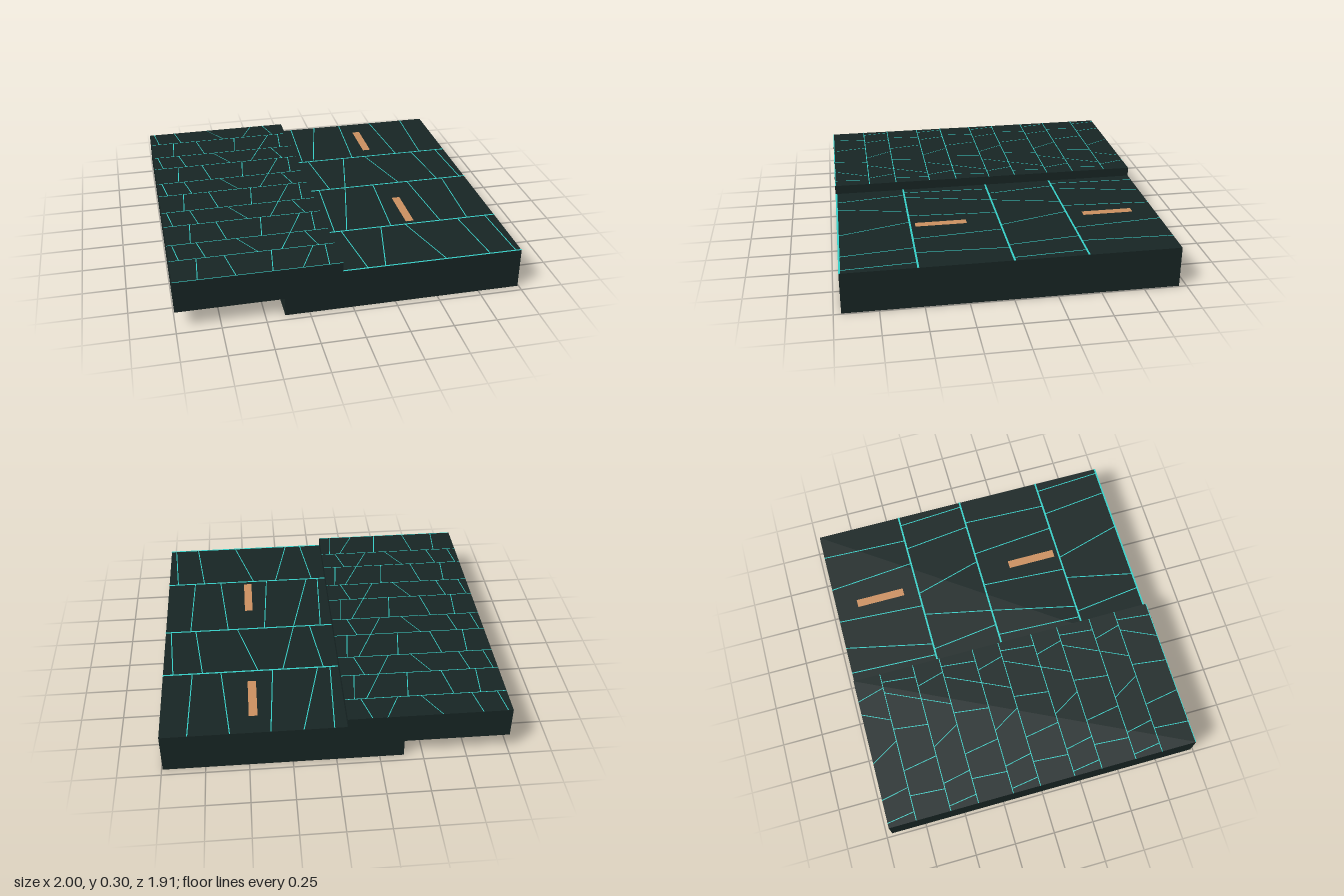
import * as THREE from 'three';

const slabMat = new THREE.MeshStandardMaterial({ color: 0x172524 });
const underMat = new THREE.MeshStandardMaterial({ color: 0x141a2e });
const seamMat = new THREE.MeshStandardMaterial({ color: 0x35d0c8 });
const markMat = new THREE.MeshStandardMaterial({ color: 0xcc9060 });

const Z = 0.957;          // half length of the street piece
const LIFT = 0.0015;      // inlays sit just above the slabs

export function createModel() {
  const model = new THREE.Group();

  // Box given by its limits
  function slab(name, x0, x1, y0, y1, materials) {
    const mesh = new THREE.Mesh(new THREE.BoxGeometry(x1 - x0, y1 - y0, 2 * Z), materials);
    mesh.position.set((x0 + x1) / 2, (y0 + y1) / 2, 0);
    mesh.name = name;
    model.add(mesh);
  }

  // Flat four-sided inlay: x0..x1 on its back edge, x2..x3 on its front edge
  function inlay(parent, name, y, z0, z1, x0, x1, x2, x3, material) {
    const shape = new THREE.Shape([
      new THREE.Vector2(x2, -z1), new THREE.Vector2(x3, -z1),
      new THREE.Vector2(x1, -z0), new THREE.Vector2(x0, -z0),
    ]);
    const mesh = new THREE.Mesh(new THREE.ShapeGeometry(shape).rotateX(-Math.PI / 2), material);
    mesh.position.y = y + LIFT;
    mesh.name = name;
    parent.add(mesh);
  }

  // Rows of slanted joints, alternating between two patterns
  function paving(name, y, left, right, rows, patterns, rowWidth, jointWidth) {
    const group = new THREE.Group();
    group.name = name;
    for (let i = 0; i + 1 < rows.length; i++) {
      const back = rows[i], front = rows[i + 1], h = jointWidth / 2;
      for (const [a, b] of patterns[i % 2]) {
        inlay(group, 'slantedJoint', y, back, front, a - h, a + h, b - h, b + h, seamMat);
      }
      const z1 = Math.min(front + rowWidth / 2, Z);
      inlay(group, 'rowJoint', y, front - rowWidth / 2, z1, left, right, left, right, seamMat);
    }
    model.add(group);
  }

  // Road slab and the raised pavement overlapping it
  slab('road', -0.39, 0.993, 0, 0.245, slabMat);
  slab('pavement', -1, -0.06, 0.11, 0.3,
    [slabMat, slabMat, slabMat, underMat, slabMat, slabMat]);

  // Large road plates
  paving('roadJoints', 0.245, -0.06, 0.995, [-Z, -0.42, 0, 0.53, 0.952], [
    [[0.013, -0.01], [0.185, 0.065], [0.37, 0.337], [0.6, 0.647], [0.837, 0.818]],
    [[0.03, 0.083], [0.275, 0.185], [0.425, 0.543], [0.757, 0.805], [0.933, 0.96]],
  ], 0.011, 0.006);

  // Small pavement stones
  paving('pavementJoints', 0.3, -1, -0.06,
    [-Z, -0.79, -0.58, -0.41, -0.195, -0.027, 0.187, 0.358, 0.572, 0.74, 0.954], [
      [[-0.97, -0.945], [-0.83, -0.795], [-0.6, -0.5], [-0.285, -0.365], [-0.2, -0.152]],
      [[-0.848, -0.863], [-0.692, -0.655], [-0.425, -0.452], [-0.185, -0.285], [-0.115, -0.137]],
    ], 0.005, 0.005);

  // Lane dashes
  for (const z of [-0.82, 0.195]) {
    inlay(model, 'laneDash', 0.245, z, z + 0.305, 0.44, 0.49, 0.44, 0.49, markMat);
  }

  return model;
}
